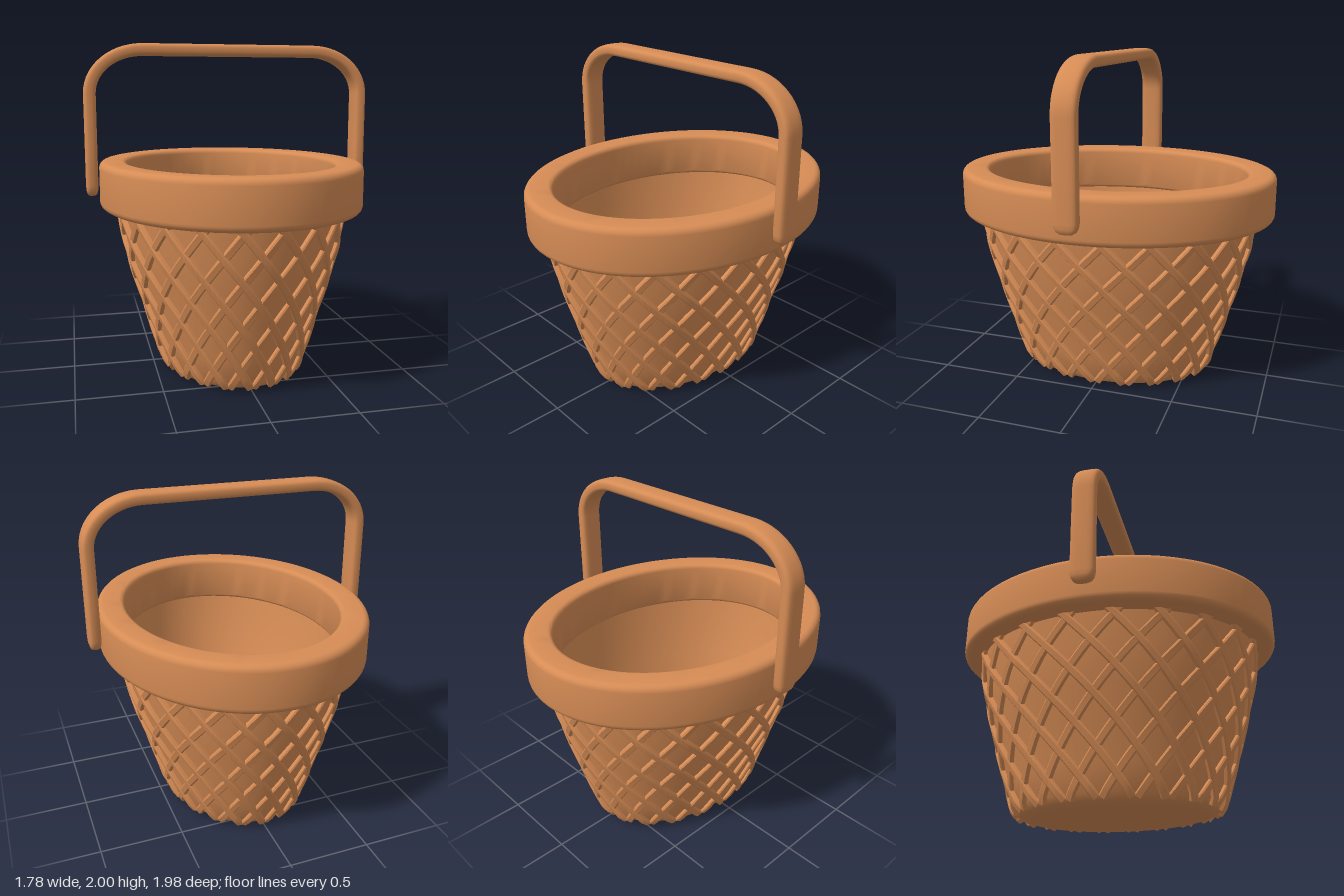
import * as THREE from 'three';
import { toCreasedNormals } from 'three/addons/utils/BufferGeometryUtils.js';

const wicker = new THREE.MeshStandardMaterial({ color: 0xd68c55 });
wicker.name = 'wicker';

// Skin a list of closed rings (arrays of Vector3, equal length)
function skin(name, rings, crease = 0.7) {
  const n = rings[0].length, pos = [], index = [];
  for (const ring of rings) for (const p of ring) pos.push(p.x, p.y, p.z);
  for (let i = 0; i < rings.length - 1; i++) {
    for (let j = 0; j < n; j++) {
      const k = (j + 1) % n, a = i * n, b = a + n;
      index.push(a + j, b + j, a + k, a + k, b + j, b + k);
    }
  }
  const g = new THREE.BufferGeometry();
  g.setAttribute('position', new THREE.Float32BufferAttribute(pos, 3));
  g.setIndex(index);
  const mesh = new THREE.Mesh(toCreasedNormals(g, crease), wicker);
  mesh.name = name;
  return mesh;
}

// Stacked ellipses: each profile entry is [x radius, z radius, y]
function ovalLoft(name, profile, crease) {
  const n = 72;
  return skin(name, profile.map(([a, b, y]) => Array.from({ length: n }, (_, j) => {
    const t = j / n * Math.PI * 2;
    return new THREE.Vector3(a * Math.cos(t), y, b * Math.sin(t));
  })), crease);
}

// Sweep a rounded-rectangle section along stations { p, out, s: [wide, thick] scale }
function sweep(name, stations, halfWidth, halfThick, sides, power) {
  const round = v => Math.sign(v) * Math.pow(Math.abs(v), power);
  return skin(name, stations.map(({ p, out, s = [1, 1] }, i) => {
    const before = stations[Math.max(i - 1, 0)].p;
    const after = stations[Math.min(i + 1, stations.length - 1)].p;
    const tangent = after.clone().sub(before).normalize();
    const side = tangent.clone().cross(out).normalize();
    const normal = side.clone().cross(tangent);
    return Array.from({ length: sides }, (_, j) => {
      const t = (j + 0.5) / sides * Math.PI * 2;
      return p.clone()
        .addScaledVector(side, round(Math.cos(t)) * halfWidth * s[0])
        .addScaledVector(normal, round(Math.sin(t)) * halfThick * s[1]);
    });
  }));
}

// Outer wall radii, bottom to top
const wall = [
  [0.37, 0.53, 0], [0.415, 0.585, 0.015], [0.44, 0.615, 0.05], [0.485, 0.662, 0.2],
  [0.54, 0.725, 0.4], [0.605, 0.78, 0.6], [0.655, 0.832, 0.8], [0.69, 0.868, 1.03],
];
function wallAt(y) {
  const i = Math.max(1, wall.findIndex(w => w[2] >= y));
  const [a0, b0, y0] = wall[i - 1], [a1, b1, y1] = wall[i];
  const f = (y - y0) / (y1 - y0);
  return [a0 + (a1 - a0) * f, b0 + (b1 - b0) * f];
}

// One diagonal strip winding up the wall
function strip(start, direction) {
  const stations = [], steps = 26;
  for (let i = 0; i <= steps; i++) {
    const y = 0.025 + 0.995 * i / steps;
    const t = start + direction * 1.12 * y;
    const [a, b] = wallAt(y);
    const out = new THREE.Vector3(Math.cos(t) / a, -0.5, Math.sin(t) / b).normalize();
    const p = new THREE.Vector3(a * Math.cos(t), y, b * Math.sin(t));
    p.addScaledVector(out, direction > 0 ? 0.004 : 0);
    stations.push({ p, out });
  }
  const end = { s: [0, 0] };
  stations.unshift({ ...stations[0], ...end });
  stations.push({ ...stations[steps + 1], ...end });
  return sweep('latticeStrip', stations, 0.024, 0.023, 8, 0.45);
}

// Arched carrying handle
function handle() {
  const pts = [];
  const add = (x, y, ox, oy, s) => pts.push({
    p: new THREE.Vector3(x, y, 0), out: new THREE.Vector3(ox, oy, 0), s,
  });
  const corner = 14, rx = 0.325, ry = 0.262;
  // rounded tip, then upright
  const tip = [[1.088, 0, 0], [1.089, 0.5, 0.55], [1.1, 0.75, 0.8], [1.12, 0.92, 0.95], [1.15, 1, 1]];
  for (const [y, w, h] of tip) add(0.855, y, 1, 0, [w, h]);
  add(0.855, 1.4, 1, 0);
  for (let i = 0; i <= corner; i++) {
    const t = i / corner * Math.PI / 2, c = Math.cos(t), s = Math.sin(t);
    add(0.53 + rx * c, 1.7 + ry * s, c / rx, s / ry);
  }
  for (const q of pts) q.out.normalize();
  // mirror to the other side
  const mirrored = pts.map(({ p, out, s }) => ({
    p: new THREE.Vector3(-p.x, p.y, 0), out: new THREE.Vector3(-out.x, out.y, 0), s,
  })).reverse();
  return sweep('handle', [...pts, ...mirrored], 0.072, 0.037, 20, 0.55);
}

export function createModel() {
  const basket = new THREE.Group();
  basket.name = 'basket';

  // Bowl: underside, outer wall, then inner wall down to the floor
  basket.add(ovalLoft('bowl', [
    [0, 0, 0], ...wall,
    [0.66, 0.84, 1.03], [0.62, 0.8, 0.8], [0.57, 0.745, 0.6], [0.51, 0.69, 0.4],
    [0.45, 0.63, 0.2], [0.415, 0.58, 0.09], [0.38, 0.54, 0.06], [0, 0, 0.06],
  ], 0.8));

  // Thick rounded rim
  const rim = [];
  const corners = [[0.135, 1.045, -90], [0.135, 1.25, 0], [0.035, 1.258, 90], [0.035, 1.03, 180]];
  corners.forEach(([d, y, deg], k) => {
    const r = k < 2 ? 0.04 : 0.03;
    for (let i = 0; i <= 5; i++) {
      const t = (deg + i * 18) * Math.PI / 180;
      const off = d + r * Math.cos(t) - 0.175;
      rim.push([0.81 + off, 0.99 + off, y + r * Math.sin(t)]);
    }
  });
  rim.push(rim[0]);
  basket.add(ovalLoft('rim', rim, 0.8));

  // Crossed lattice
  const lattice = new THREE.Group();
  lattice.name = 'lattice';
  const count = 20;
  for (let i = 0; i < count; i++) {
    const t = i / count * Math.PI * 2;
    lattice.add(strip(t, 1), strip(t, -1));
  }
  basket.add(lattice, handle());
  return basket;
}
